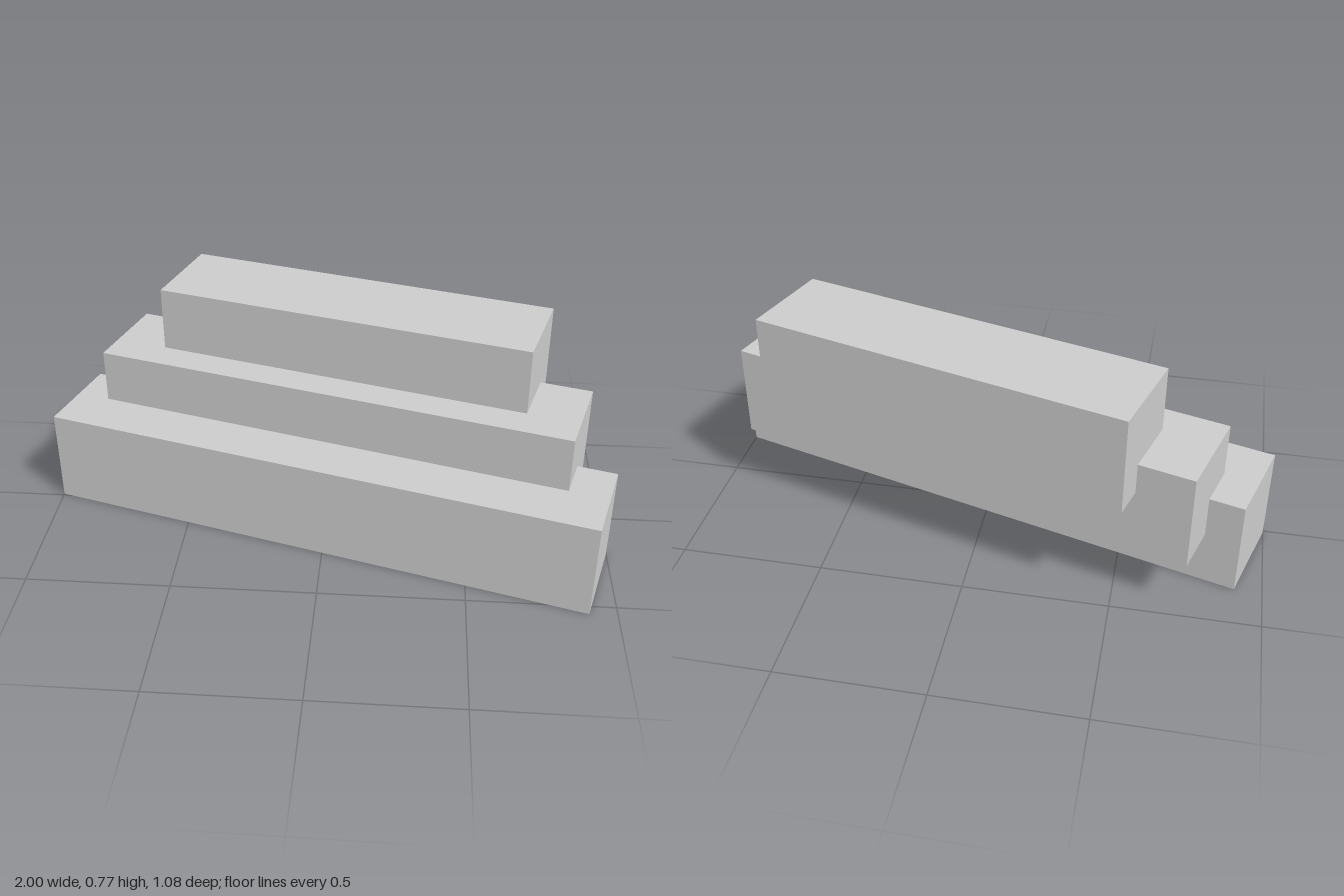
import * as THREE from 'three';

export function createModel() {
  const model = new THREE.Group();
  const stone = new THREE.MeshStandardMaterial({ color: 0xcccccc });
  stone.name = 'light grey stone';

  // Three overlapping steps, each shorter and set further back
  const height = 0.341, depth = 0.34;
  const steps = [
    { name: 'bottomStep', length: 1.983, x: 0, y: 0, z: 0.102 },
    { name: 'middleStep', length: 1.723, x: 0.043, y: 0.194, z: -0.077 },
    { name: 'topStep', length: 1.348, x: 0.08, y: 0.426, z: -0.188 },
  ];
  for (const { name, length, x, y, z } of steps) {
    const step = new THREE.Mesh(new THREE.BoxGeometry(length, height, depth), stone);
    step.name = name;
    step.position.set(x, y + height / 2, z);
    step.rotation.y = THREE.MathUtils.degToRad(-16);
    model.add(step);
  }
  return model;
}
